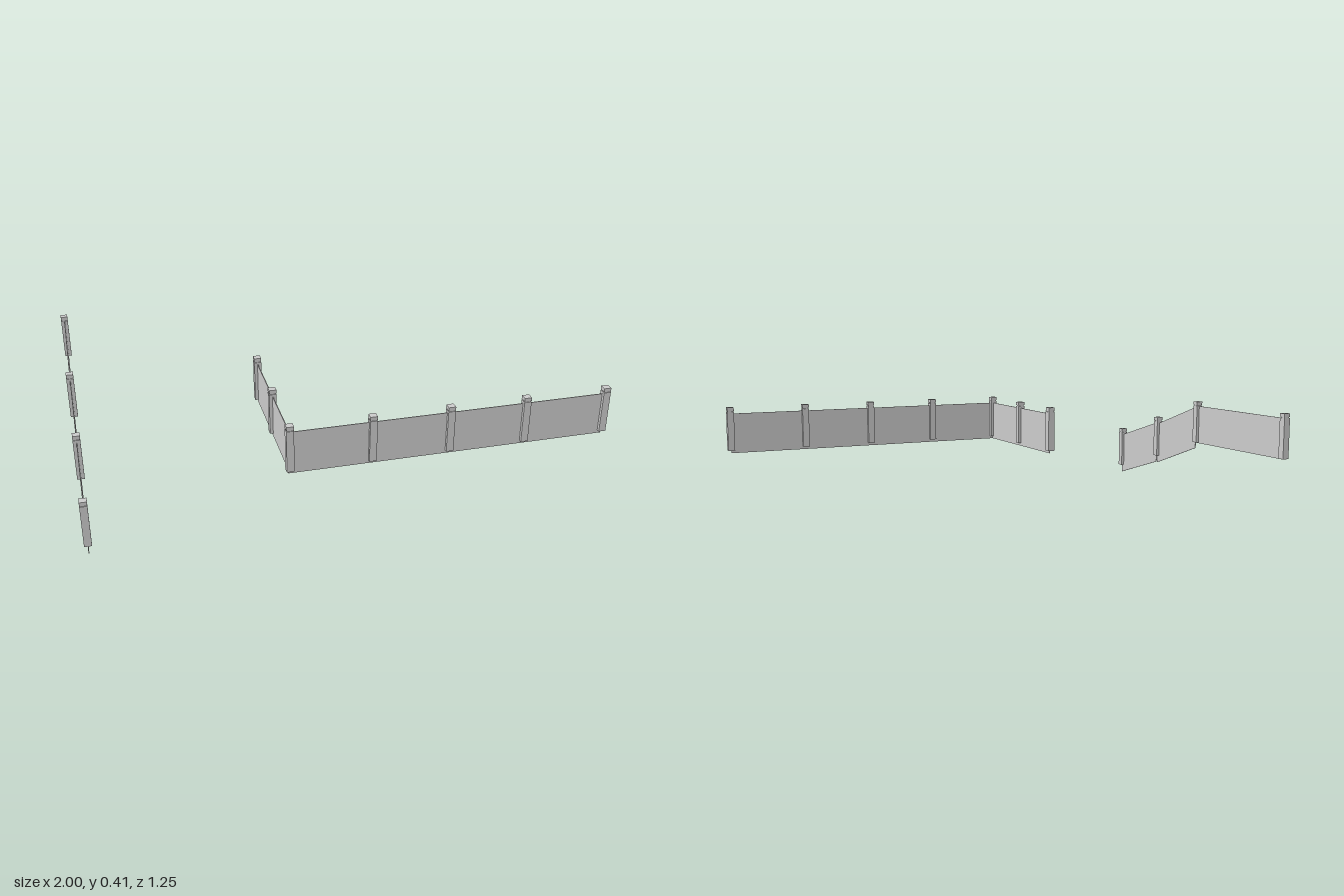
import * as THREE from 'three';

const material = new THREE.MeshStandardMaterial({ color: 0xcccccc, flatShading: true });
const POST_WIDTH = 0.028;
const PANEL_THICKNESS = 0.003;

function box(name, w, h, d, y) {
  const mesh = new THREE.Mesh(new THREE.BoxGeometry(w, h, d), material);
  mesh.name = name;
  mesh.position.y = y + h / 2;
  return mesh;
}

// Square post with a narrow groove under its cap; y is the foot of the post
function createPost(x, y, z) {
  const post = new THREE.Group();
  post.name = 'fencePost';
  post.add(
    box('postShaft', POST_WIDTH, 0.167, POST_WIDTH, 0),
    box('postNeck', 0.022, 0.004, 0.022, 0.167),
    box('postCap', POST_WIDTH, 0.014, POST_WIDTH, 0.171)
  );
  post.position.set(x, y, z);
  return post;
}

// Thin panel between two ground points, sheared so its ends stay vertical
function createPanel(a, b, height) {
  const run = Math.hypot(b[0] - a[0], b[2] - a[2]);
  const geometry = new THREE.BoxGeometry(run, height, PANEL_THICKNESS);
  const p = geometry.attributes.position;
  for (let i = 0; i < p.count; i++) {
    p.setY(i, p.getY(i) + (p.getX(i) / run) * (b[1] - a[1]));
  }
  geometry.computeVertexNormals();
  const panel = new THREE.Mesh(geometry, material);
  panel.name = 'fencePanel';
  panel.position.set((a[0] + b[0]) / 2, (a[1] + b[1] + height) / 2, (a[2] + b[2]) / 2);
  panel.rotation.y = -Math.atan2(b[2] - a[2], b[0] - a[0]);
  return panel;
}

function createRun(name, posts, panels) {
  const run = new THREE.Group();
  run.name = name;
  posts.forEach((p) => run.add(createPost(...p)));
  panels.forEach((p) => run.add(createPanel(...p)));
  return run;
}

export function createModel() {
  const model = new THREE.Group();
  model.name = 'fence';
  const cornerX = -0.248, frontZ = 0.595, sideX = -0.986;

  // Level front run, including the corner post
  model.add(createRun(
    'frontFence',
    [cornerX, 0.062, 0.361, 0.661, 0.986].map((x) => [x, 0.225, frontZ]),
    [[[cornerX - 0.006, 0.213, frontZ], [0.986, 0.213, frontZ], 0.17]]
  ));

  // Short level run going back from the corner
  model.add(createRun(
    'returnFence',
    [0.301, 0.012].map((z) => [cornerX, 0.225, z]),
    [[[cornerX, 0.213, frontZ], [cornerX, 0.213, 0.012], 0.17]]
  ));

  // Separate side run: level at the back, stepping down a slope to the front
  model.add(createRun(
    'slopingFence',
    [[sideX, 0.225, -0.609], [sideX, 0.225, -0.021], [sideX, 0.125, 0.294], [sideX, 0.037, 0.609]],
    [
      [[sideX, 0.222, -0.609], [sideX, 0.222, -0.021], 0.168],
      [[sideX, 0.197, -0.012], [sideX, 0.09, 0.294], 0.188],
      [[sideX, 0.093, 0.301], [sideX, 0, 0.612], 0.19]
    ]
  ));
  return model;
}
